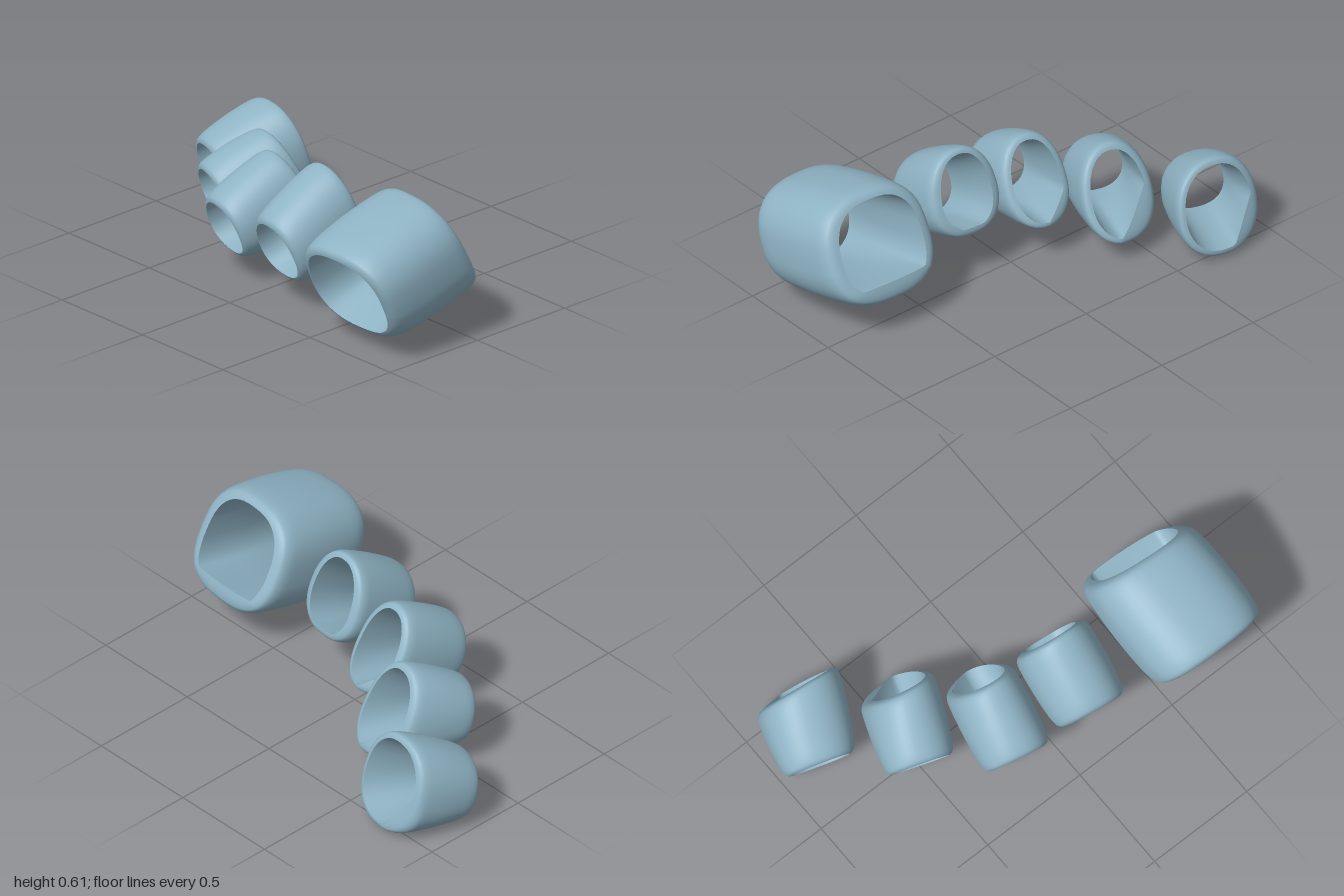
import * as THREE from 'three';

const { lerp, clamp } = THREE.MathUtils;

// wall profiles: [position along the sleeve, scale of the cross-section]
const OUTER = [[0, 0.84], [0.015, 0.92], [0.06, 0.98], [0.2, 1.02], [0.5, 1.04], [0.8, 1.02], [0.94, 0.97], [0.985, 0.9], [1, 0.82]];
const INNER = [[1, 0.82], [0.75, 0.79], [0.5, 0.78], [0.25, 0.8], [0, 0.84]];

// each sleeve runs from a raised back rim to a lower front rim;
// c = centre, w / h = half width and height, lean / yaw = rim tilt and turn,
// lip = [direction, reach] of the flat side of the back opening,
// slim = narrowing of the back opening, heel = backward bulge of its lower rim
const SLEEVES = [
  { name: 'firstSleeve', power: 2.6, pinch: 0.03, lip: [-1.6, 0.72], slim: 0.09, heel: 0.02,
    back: { c: [0.715, 0.4, -0.01], w: 0.268, h: 0.247, lean: 0.46, yaw: 0.08 },
    front: { c: [0.725, 0.268, 0.485], w: 0.27, h: 0.232, lean: 0.4, yaw: 0 } },
  { name: 'secondSleeve', power: 2.25, pinch: 0.1, lip: [-1.57, 0.95], slim: 0.14, heel: 0,
    back: { c: [0.2, 0.415, 0.055], w: 0.172, h: 0.2, lean: 0.37, yaw: 0.1 },
    front: { c: [0.168, 0.257, 0.38], w: 0.162, h: 0.16, lean: 0.35, yaw: 0.14 } },
  { name: 'thirdSleeve', power: 2.25, pinch: 0.08, lip: [-2.14, 0.85], slim: 0.11, heel: 0.025,
    back: { c: [-0.14, 0.355, 0], w: 0.155, h: 0.208, lean: 0.5, yaw: 0.14 },
    front: { c: [-0.203, 0.232, 0.34], w: 0.153, h: 0.148, lean: 0.35, yaw: 0.2 } },
  { name: 'fourthSleeve', power: 2.25, pinch: 0.1, lip: [-2.25, 0.6], slim: 0.08, heel: 0.025,
    back: { c: [-0.412, 0.283, -0.213], w: 0.168, h: 0.222, lean: 0.46, yaw: 0.18 },
    front: { c: [-0.535, 0.21, 0.1], w: 0.152, h: 0.138, lean: 0.3, yaw: 0.33 } },
  { name: 'fifthSleeve', power: 2.3, pinch: 0.06, lip: [-2.5, 0.78], slim: 0.03, heel: 0.015,
    back: { c: [-0.73, 0.222, -0.492], w: 0.2, h: 0.22, lean: 0.3, yaw: 0.12 },
    front: { c: [-0.848, 0.138, -0.187], w: 0.16, h: 0.142, lean: 0.28, yaw: 0.3 } },
];

// lofts rounded sections along a wall profile
function wall(s, profile, rings) {
  const sides = 48;
  const curve = new THREE.SplineCurve(profile.map((p) => new THREE.Vector2(...p)));
  const pos = [], index = [];
  const bend = (v) => Math.sign(v) * Math.pow(Math.abs(v), 2 / s.power);
  const [dir, reach] = s.lip;
  for (let i = 0; i <= rings; i++) {
    const { x: t, y: k } = curve.getPoint(i / rings);
    const mix = (key) => lerp(s.back[key], s.front[key], t);
    const c = s.back.c.map((v, n) => lerp(v, s.front.c[n], t));
    const w = mix('w') * k, h = mix('h') * k, lean = mix('lean'), yaw = mix('yaw');
    // the lip affects only the inside, fading towards the front
    const lip = (1 - t) * clamp((1 - k) / 0.16, 0, 1);
    for (let j = 0; j < sides; j++) {
      const a = (j / sides) * Math.PI * 2;
      let across = bend(Math.cos(a)), up = bend(Math.sin(a));
      const low = Math.max(0, -up);
      const over = Math.max(0, across * Math.cos(dir) + up * Math.sin(dir) - reach) * lip;
      across = (across - over * Math.cos(dir)) * (1 - s.slim * lip);
      up -= over * Math.sin(dir);
      const x = across * w * (1 - s.pinch * up);
      const z = up * h * Math.sin(lean) - s.heel * low * low * (1 - t) ** 2;
      pos.push(
        c[0] + x * Math.cos(yaw) - z * Math.sin(yaw),
        c[1] + up * h * Math.cos(lean),
        c[2] + x * Math.sin(yaw) + z * Math.cos(yaw));
      if (i < rings) {
        const p = i * sides + j, q = i * sides + ((j + 1) % sides);
        index.push(p, q, q + sides, p, q + sides, p + sides);
      }
    }
  }
  const geo = new THREE.BufferGeometry();
  geo.setAttribute('position', new THREE.Float32BufferAttribute(pos, 3));
  geo.setIndex(index);
  geo.computeVertexNormals();
  return geo;
}

export function createModel() {
  const model = new THREE.Group();
  model.name = 'toeSleeves';
  const blue = new THREE.MeshStandardMaterial({ color: 0x8fb3c4 });
  blue.name = 'dustyBlue';

  for (const s of SLEEVES) {
    const sleeve = new THREE.Group();
    sleeve.name = s.name;
    const outside = new THREE.Mesh(wall(s, OUTER, 32), blue);
    outside.name = 'outerWall';
    const inside = new THREE.Mesh(wall(s, INNER, 16), blue);
    inside.name = 'innerWall';
    sleeve.add(outside, inside);
    model.add(sleeve);
  }

  // centre on x and z, stand on the ground
  const box = new THREE.Box3().setFromObject(model);
  const mid = box.getCenter(new THREE.Vector3());
  model.position.set(-mid.x, -box.min.y, -mid.z);
  return model;
}
